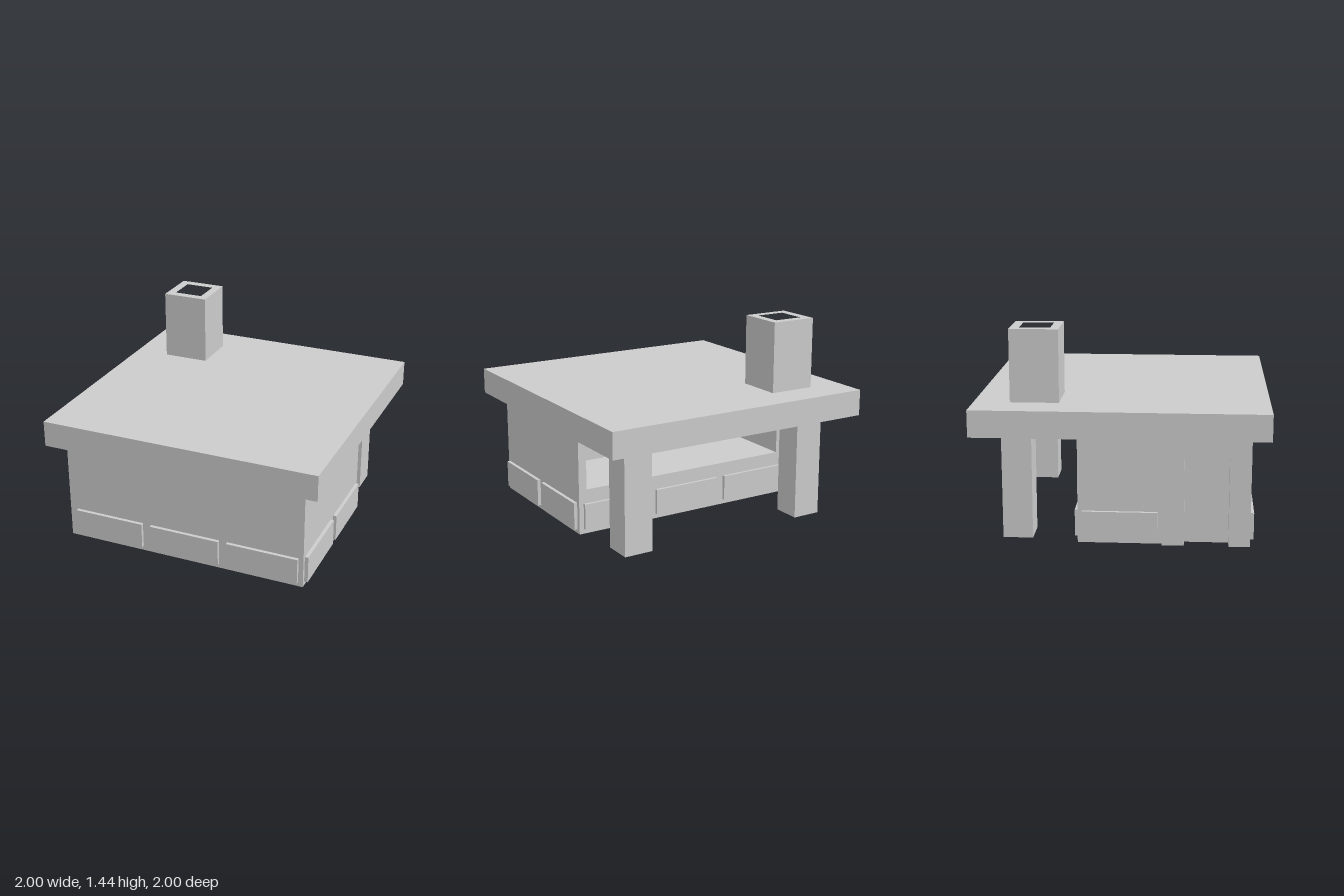
import * as THREE from 'three';

export function createModel() {
  const group = new THREE.Group();
  const material = new THREE.MeshStandardMaterial({ color: 0xcccccc, flatShading: true });

  const add = (name, geometry) => {
    const mesh = new THREE.Mesh(geometry, material);
    mesh.name = name;
    group.add(mesh);
  };
  // Box given by its limits on each axis
  const box = (name, x0, x1, y0, y1, z0, z1) =>
    add(name, new THREE.BoxGeometry(x1 - x0, y1 - y0, z1 - z0)
      .translate((x0 + x1) / 2, (y0 + y1) / 2, (z0 + z1) / 2));
  // Floor plan of [x, z] points raised from y0 to y1
  const raise = (name, plan, y0, y1, hole) => {
    const points = (list) => list.map(([x, z]) => new THREE.Vector2(x, -z));
    const shape = new THREE.Shape(points(plan));
    if (hole) shape.holes.push(new THREE.Path(points(hole)));
    add(name, new THREE.ExtrudeGeometry(shape, { depth: y1 - y0, bevelEnabled: false })
      .rotateX(-Math.PI / 2).translate(0, y0, 0));
  };
  const square = (a, b) => [[a, a], [b, a], [b, b], [a, b]];

  // Walls in layers: the door frame juts out on one side with a recessed door,
  // and a wide serving opening runs along the back
  const corner = [[0.875, 0.875], [0.875, -0.29]];
  const cavity = [[0.815, -0.29], [0.815, 0.815], [-0.815, 0.815], [-0.815, -0.29]];
  const side = [[-0.875, -0.29], [-0.875, 0.28], [-0.905, 0.28]];
  const recess = [[-0.905, 0.43], [-0.825, 0.43], [-0.825, 0.73], [-0.905, 0.73]];
  const end = [[-0.905, 0.875]];
  raise('lowerWalls', [...corner, ...side, ...recess, ...end], 0, 0.32);
  raise('servingOpeningWalls', [...corner, ...cavity, ...side, ...recess, ...end], 0.32, 0.53);
  raise('upperWalls', [...corner, ...side, ...recess, ...end], 0.53, 0.615);
  raise('lintel', [...corner, ...side, ...end], 0.615, 0.755);

  // Raised panels around the foot of the walls
  for (const x of [-0.585, 0, 0.58]) {
    box('frontPanel', x - 0.26, x + 0.26, 0.035, 0.22, 0.87, 0.9);
    box('backPanel', x - 0.26, x + 0.26, 0.035, 0.22, -0.312, -0.285);
  }
  box('leftPanel', 0.87, 0.9, 0.03, 0.225, 0.32, 0.85);
  box('leftPanel', 0.87, 0.9, 0.03, 0.225, -0.26, 0.26);
  box('rightPanel', -0.897, -0.87, 0.03, 0.225, -0.26, 0.25);

  // Posts under the rear overhang
  for (const x of [-0.705, 0.705]) {
    box('porchPost', x - 0.105, x + 0.105, 0, 0.755, -0.81, -0.605);
  }

  // Flat roof and hollow chimney
  box('roof', -1, 1, 0.755, 0.94, -1, 1);
  raise('chimney', square(-0.753, -0.42), 0.94, 1.44, square(-0.69, -0.48));

  return group;
}
